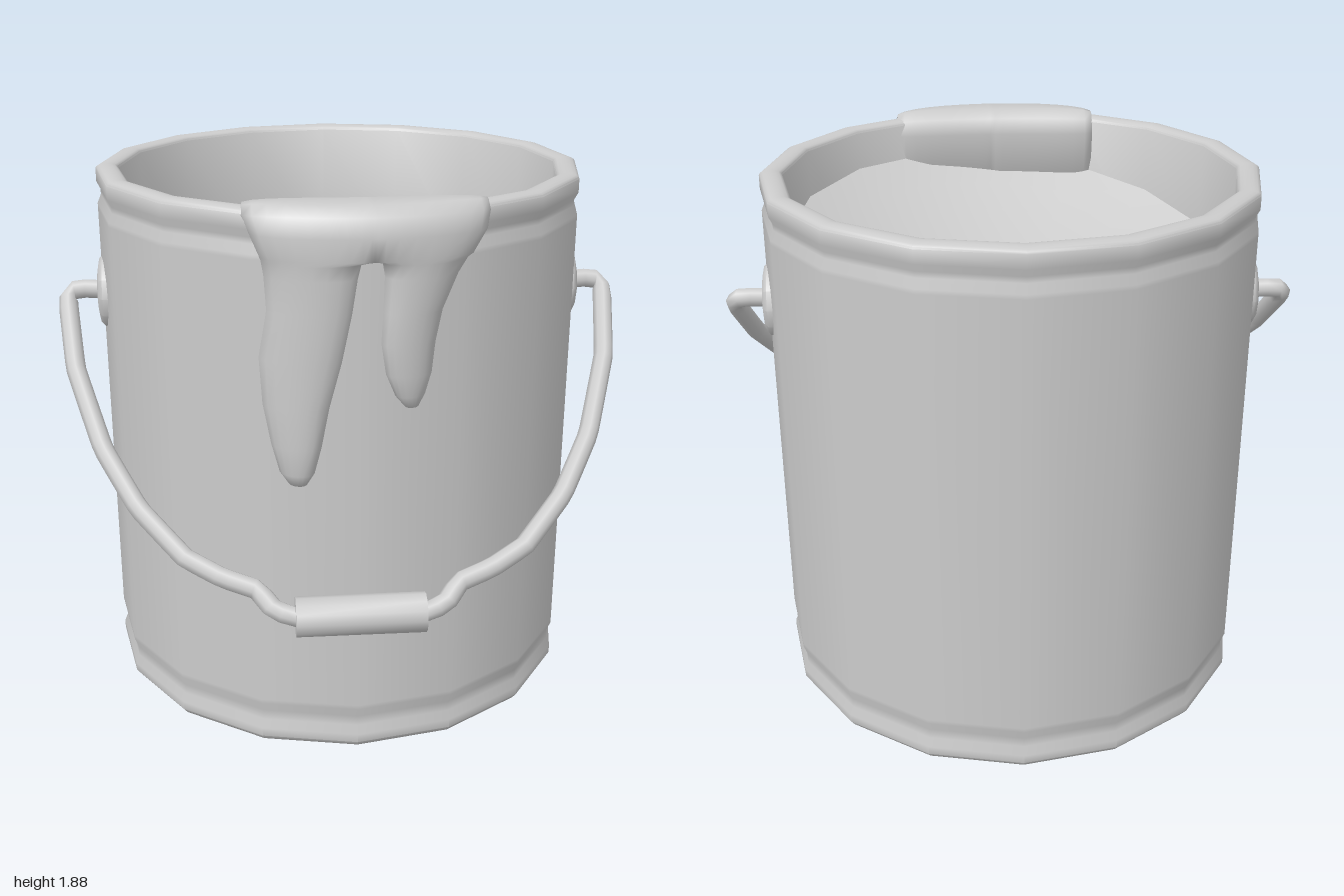
import * as THREE from 'three';
import { mergeVertices, toCreasedNormals } from 'three/addons/utils/BufferGeometryUtils.js';

const CZ = -0.07; // bucket axis
const grey = new THREE.MeshStandardMaterial({ color: 0xcccccc });
const greyDouble = new THREE.MeshStandardMaterial({ color: 0xcccccc, side: THREE.DoubleSide });

function add(parent, name, geometry, material = grey) {
  const mesh = new THREE.Mesh(geometry, material);
  mesh.name = name;
  parent.add(mesh);
  return mesh;
}

function lathe(points, sides, crease) {
  const profile = points.map(([x, y]) => new THREE.Vector2(x, y));
  return toCreasedNormals(new THREE.LatheGeometry(profile, sides), crease);
}

// Paint run: rows of [y, radius, left x, right x] wrapped around the bucket, edges folded into the wall.
// openSide (-1 left, 1 right) keeps that edge unfolded on the first openRows rows.
function paintStrip(rows, openSide, openRows, positions, index) {
  const n = 10, first = positions.length / 3;
  rows.forEach(([y, r, x0, x1], i) => {
    for (let j = 0; j <= n; j++) {
      const t = j / n, isCap = i < openRows;
      const s = 0.5 - 0.5 * Math.cos(Math.PI * t);
      let w = j % n === 0 ? 0 : Math.sin(Math.PI * t) ** (isCap ? 0.3 : 0.5);
      if (isCap && (t - 0.5) * openSide >= 0) w = 1;
      const x = x0 + (x1 - x0) * s;
      const full = r < 0.8 ? r + 0.5 * x * x : r; // inner face is flatter than the wall
      const rr = 0.8 + (full - 0.8) * w;
      const low = Math.min(y, 1.8);
      positions.push(x, low + (y - low) * (0.5 + 0.5 * w), CZ + Math.sqrt(rr * rr - x * x));
    }
  });
  for (let i = 0; i < rows.length - 1; i++)
    for (let j = 0; j < n; j++) {
      const a = first + i * (n + 1) + j, b = a + n + 1;
      index.push(a, b, a + 1, b, b + 1, a + 1);
    }
}

function spillGeometry() {
  const positions = [], index = [], mid = 0.035;
  // Shared rows: from the inside wall, over the rim, to the gap between the runs
  const cap = [
    [1.6, 0.74, -0.34, 0.385], [1.64, 0.685, -0.355, 0.395], [1.8, 0.66, -0.355, 0.405],
    [1.855, 0.68, -0.355, 0.405], [1.88, 0.74, -0.355, 0.405], [1.877, 0.84, -0.355, 0.405],
    [1.85, 0.892, -0.355, 0.405], [1.79, 0.905, -0.335, 0.395], [1.72, 0.902, -0.305, 0.35],
  ];
  const left = [
    [1.705, 0.9, -0.3, 0.008], [1.66, 0.897, -0.292, -0.003], [1.55, 0.895, -0.285, -0.02],
    [1.4, 0.892, -0.312, -0.05], [1.25, 0.892, -0.302, -0.09], [1.12, 0.89, -0.277, -0.115],
    [1.03, 0.882, -0.252, -0.138], [0.99, 0.865, -0.225, -0.16], [0.975, 0.81, -0.2, -0.185],
  ];
  const right = [
    [1.705, 0.9, 0.062, 0.335], [1.66, 0.895, 0.07, 0.305], [1.55, 0.89, 0.067, 0.257],
    [1.45, 0.885, 0.062, 0.237], [1.35, 0.878, 0.078, 0.227], [1.28, 0.868, 0.108, 0.207],
    [1.24, 0.85, 0.14, 0.188], [1.225, 0.81, 0.16, 0.172],
  ];
  paintStrip([...cap.map(([y, r, x0]) => [y, r, x0, mid]), ...left], 1, cap.length, positions, index);
  paintStrip([...cap.map(([y, r, , x1]) => [y, r, mid, x1]), ...right], -1, cap.length, positions, index);
  let g = new THREE.BufferGeometry();
  g.setAttribute('position', new THREE.Float32BufferAttribute(positions, 3));
  g.setIndex(index);
  g = mergeVertices(g, 1e-4);
  g.computeVertexNormals();
  return g;
}

export function createModel() {
  const group = new THREE.Group();
  group.name = 'paintBucket';

  // Can: base, lower bead, wall, upper bead, rolled rim and inside wall
  const rim = [];
  for (let i = 0; i <= 8; i++) {
    const a = (i / 8) * Math.PI;
    rim.push([0.803 + 0.039 * Math.cos(a), 1.84 + 0.017 * Math.sin(a)]);
  }
  const can = add(group, 'can', lathe([
    [0, 0.012], [0.772, 0.012], [0.778, 0.002], [0.8, 0], [0.827, 0.01], [0.842, 0.03], [0.842, 0.06],
    [0.829, 0.09], [0.829, 0.125], [0.842, 0.16], [0.842, 0.175], [0.842, 1.705], [0.842, 1.72],
    [0.829, 1.75], [0.829, 1.77], [0.842, 1.795], ...rim, [0.764, 1.35],
  ], 16, 0.65), greyDouble);
  can.position.z = CZ;

  // Paint inside, dished and tilted up towards the spill
  const paint = new THREE.RingGeometry(0, 0.766, 16, 6).rotateX(-Math.PI / 2);
  const p = paint.attributes.position;
  for (let i = 0; i < p.count; i++) {
    const x = p.getX(i), z = p.getZ(i);
    p.setY(i, 1.38 + 0.09 * x + 0.18 * z + 0.31 * (x * x + z * z));
  }
  paint.computeVertexNormals();
  add(group, 'paintSurface', paint, greyDouble).position.z = CZ;

  add(group, 'paintSpill', spillGeometry(), greyDouble);

  // Handle wire: half path, mirrored, lying in a tilted plane
  const half = [
    [0.82, 1.405], [0.91, 1.41], [0.95, 1.405], [0.965, 1.375], [0.93, 1.19], [0.83, 0.98], [0.71, 0.83],
    [0.56, 0.71], [0.44, 0.66], [0.33, 0.63], [0.28, 0.585], [0.22, 0.565], [0.1, 0.565],
  ];
  const path = [...half, ...half.map(([x, y]) => [-x, y]).reverse()]
    .map(([x, y]) => new THREE.Vector3(x, y, -0.07 + (1.405 - y) * 1.083));
  const wire = new THREE.CatmullRomCurve3(path, false, 'catmullrom', 0.05);
  const handle = new THREE.Group();
  handle.name = 'handle';
  group.add(handle);
  add(handle, 'wire', new THREE.TubeGeometry(wire, 90, 0.034, 8));

  // Grip
  const grip = add(handle, 'grip', lathe([[0, -0.21], [0.065, -0.21], [0.065, 0.21], [0, 0.21]], 12, 0.7));
  grip.rotation.z = Math.PI / 2;
  grip.position.set(0, 0.565, 0.84);

  // Domed round plates where the wire meets the can
  const plateProfile = [[0.132, -0.06], [0.132, 0.005], [0.115, 0.02], [0.08, 0.026], [0, 0.027]];
  for (const side of [1, -1]) {
    const plate = add(group, side > 0 ? 'leftHandlePlate' : 'rightHandlePlate',
      lathe(plateProfile, 12, 0.9), greyDouble);
    plate.rotation.z = -side * Math.PI / 2;
    plate.position.set(side * 0.83, 1.405, CZ);
  }
  return group;
}
